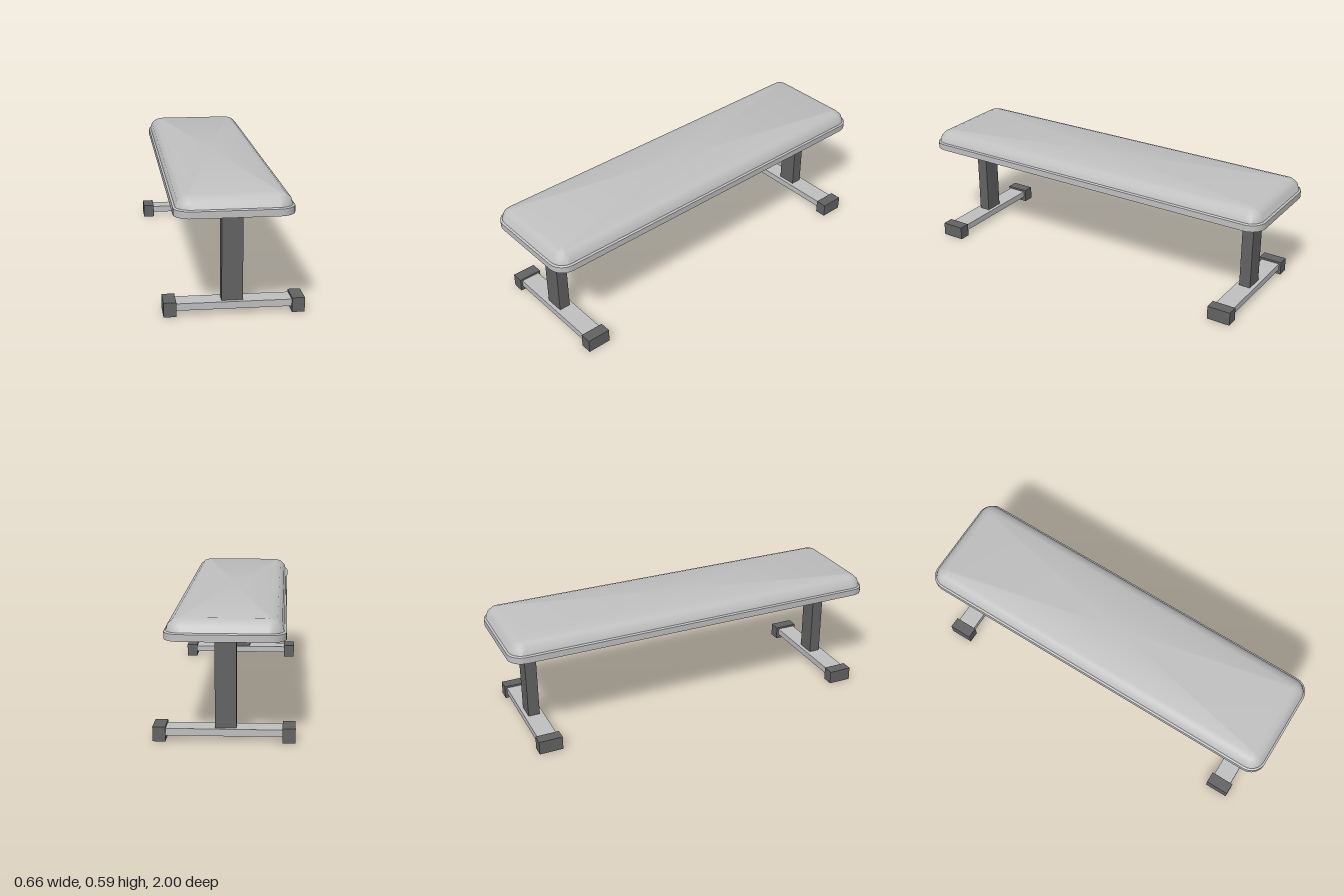
import * as THREE from 'three';
import { toCreasedNormals } from 'three/addons/utils/BufferGeometryUtils.js';

const HALF_W = 0.278, HALF_L = 1, CORNER = 0.08, STEPS = 8;

// Rounded-rectangle loop at height y, shrunk by inset
function ring(inset, y) {
  const r = Math.max(CORNER - inset, 0.012), pts = [];
  const cx = HALF_W - inset - r, cz = HALF_L - inset - r;
  [[1, 1], [-1, 1], [-1, -1], [1, -1]].forEach(([sx, sz], q) => {
    for (let i = 0; i <= STEPS; i++) {
      const a = (q + i / STEPS) * Math.PI / 2;
      pts.push([sx * cx + r * Math.cos(a), y, sz * cz + r * Math.sin(a)]);
    }
  });
  return pts;
}

// Stack of loops closed by a cap at each end
function loft(profile) {
  const rings = profile.map(([inset, y]) => ring(inset, y));
  const n = rings[0].length, last = (rings.length - 1) * n;
  const verts = rings.flat();
  const bottom = verts.push([0, profile[0][1], 0]) - 1;
  const top = verts.push([0, profile[profile.length - 1][1], 0]) - 1;
  const index = [];
  for (let j = 0; j < n; j++) {
    const k = (j + 1) % n;
    for (let i = 0; i < last; i += n) {
      index.push(i + j, i + n + j, i + k, i + k, i + n + j, i + n + k);
    }
    index.push(bottom, j, k, top, last + k, last + j);
  }
  const geo = new THREE.BufferGeometry();
  geo.setAttribute('position', new THREE.Float32BufferAttribute(verts.flat(), 3));
  geo.setIndex(index);
  return toCreasedNormals(geo, 0.7);
}

export function createModel() {
  const model = new THREE.Group();
  model.name = 'bench';
  const light = new THREE.MeshStandardMaterial({ color: 0xc0c0c0 });
  light.name = 'light grey';
  const dark = new THREE.MeshStandardMaterial({ color: 0x636363 });
  dark.name = 'dark grey';

  // Padded seat: board edge, small lip, then a rounded cushion
  const seat = new THREE.Mesh(loft([
    [0, 0.495], [0, 0.528], [0.004, 0.532], [0.01, 0.533],
    [0.019, 0.562], [0.042, 0.583], [0.07, 0.592],
  ]), light);
  seat.name = 'seat';
  seat.position.x = -0.007;
  model.add(seat);

  const box = (parent, name, size, pos, mat) => {
    const mesh = new THREE.Mesh(new THREE.BoxGeometry(...size), mat);
    mesh.name = name;
    mesh.position.set(...pos);
    parent.add(mesh);
  };

  // Leg frames: post on a crossbar with a block foot at each end
  for (const [name, z] of [['frontLeg', 0.845], ['backLeg', -0.845]]) {
    const leg = new THREE.Group();
    leg.name = name;
    leg.position.z = z;
    box(leg, 'post', [0.1, 0.437, 0.06], [-0.007, 0.2775, 0], dark);
    box(leg, 'crossbar', [0.56, 0.034, 0.1], [0, 0.043, 0], light);
    box(leg, 'leftFoot', [0.06, 0.07, 0.123], [0.301, 0.035, 0], dark);
    box(leg, 'rightFoot', [0.06, 0.07, 0.123], [-0.301, 0.035, 0], dark);
    model.add(leg);
  }
  return model;
}
